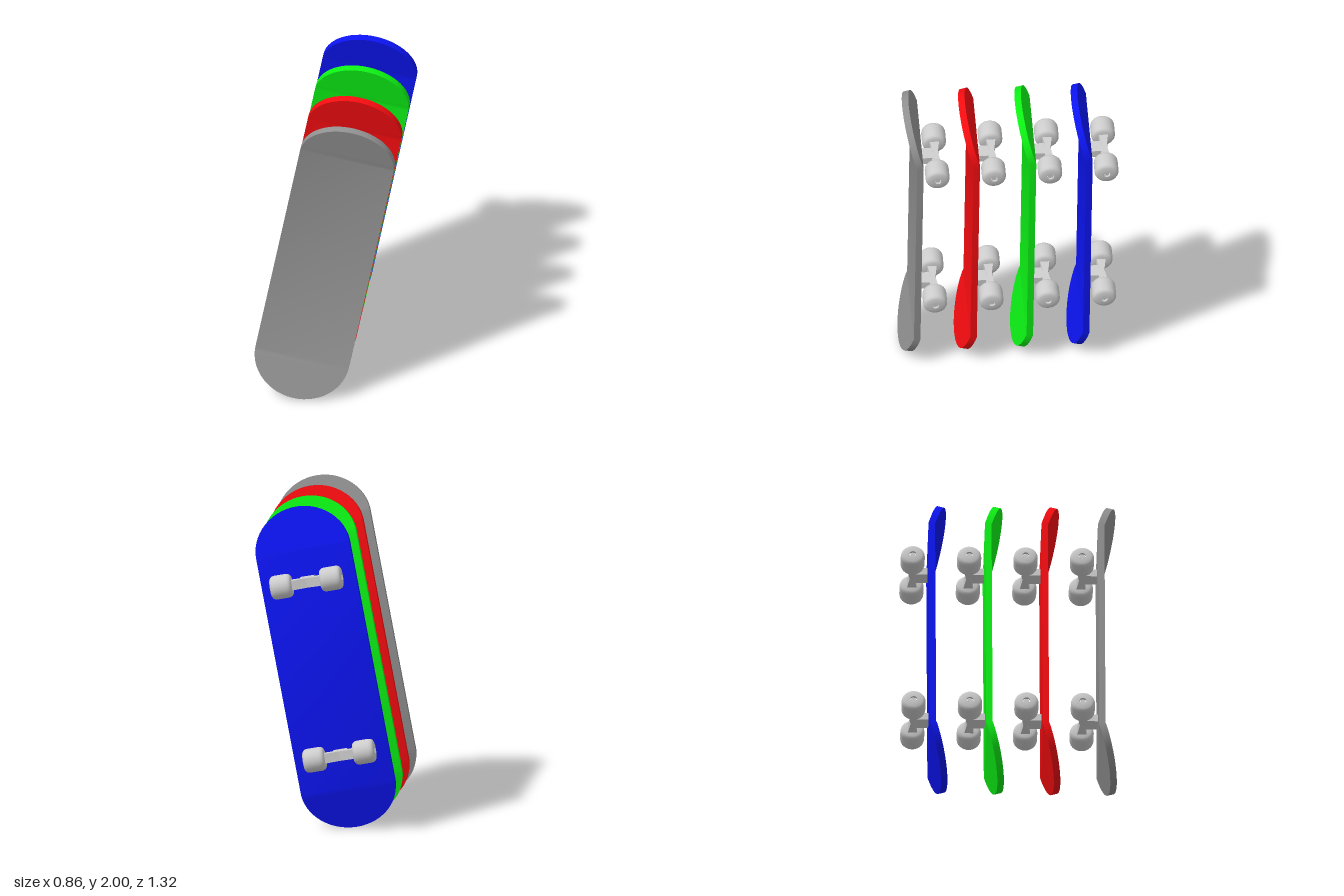
import * as THREE from 'three';
import { toCreasedNormals } from 'three/addons/utils/BufferGeometryUtils.js';

const LEAN = -0.187;     // boards lean sideways
const HALF_WIDTH = 0.294;
const BEND_Y = 0.75;     // where nose and tail kick up
const CAP = 0.262;       // projected length of nose and tail
const KICK = 0.285;      // kick slope
const THICK = 0.04;

// Loft of rectangular cross-sections along the deck; z = 0 is the underside.
function deckGeometry() {
  const steps = 14, pos = [], index = [];
  const addRow = (sign, phi) => {
    const t = CAP * Math.sin(phi);
    const w = HALF_WIDTH * Math.cos(phi);
    for (const [sx, z] of [[-1, THICK], [1, THICK], [1, 0], [-1, 0]]) {
      const mitre = KICK * z * (phi === 0 ? 0.5 : 1);
      pos.push(sx * w, sign * (BEND_Y + t - mitre), z + KICK * t);
    }
  };
  for (let i = steps; i >= 0; i--) addRow(-1, (i / steps) * Math.PI / 2);
  for (let i = 0; i <= steps; i++) addRow(1, (i / steps) * Math.PI / 2);
  const rows = 2 * steps + 2;
  for (let j = 0; j < rows - 1; j++) {
    for (let k = 0; k < 4; k++) {
      const a = j * 4 + k, b = j * 4 + (k + 1) % 4;
      index.push(a, b, b + 4, a, b + 4, a + 4);
    }
  }
  const geo = new THREE.BufferGeometry();
  geo.setAttribute('position', new THREE.Float32BufferAttribute(pos, 3));
  geo.setIndex(index);
  return toCreasedNormals(geo, 0.5);
}

// Barrel-shaped wheel with a recessed hub, axis along x.
function wheelGeometry() {
  const half = [[0.074, 0.037], [0.072, 0.049], [0.066, 0.059], [0.055, 0.066], [0.021, 0.067], [0.021, 0.052]];
  const points = [
    ...half.slice().reverse().map(([r, y]) => new THREE.Vector2(r, -y)),
    ...half.map(([r, y]) => new THREE.Vector2(r, y)),
  ];
  const geo = new THREE.LatheGeometry(points, 28);
  geo.rotateZ(Math.PI / 2);
  return toCreasedNormals(geo, 0.7);
}

// Four-sided hanger, pinched at the middle.
function hangerGeometry() {
  const geo = new THREE.CylinderGeometry(0.042, 0.042, 0.19, 4, 2);
  geo.rotateY(Math.PI / 4);
  geo.rotateZ(Math.PI / 2);
  const p = geo.attributes.position;
  for (let i = 0; i < p.count; i++) {
    if (Math.abs(p.getX(i)) < 0.01) p.setZ(i, p.getZ(i) * 0.5);
  }
  return geo;
}

export function createModel() {
  const model = new THREE.Group();
  model.name = 'skateboardRow';
  const metal = new THREE.MeshStandardMaterial({ color: 0xcccccc });
  const facetedMetal = new THREE.MeshStandardMaterial({ color: 0xcccccc, flatShading: true });
  const deckGeo = deckGeometry();
  const wheelGeo = wheelGeometry();
  const hangerGeo = hangerGeometry();
  const postGeo = new THREE.BoxGeometry(0.088, 0.05, 0.1);
  const axleGeo = new THREE.CylinderGeometry(0.016, 0.016, 0.43, 16);
  axleGeo.rotateZ(Math.PI / 2);

  const add = (parent, name, geo, mat, x = 0, y = 0, z = 0) => {
    const mesh = new THREE.Mesh(geo, mat);
    mesh.name = name;
    mesh.position.set(x, y, z);
    parent.add(mesh);
  };

  // Truck: post, hanger, axle and a pair of wheels
  function makeTruck(name, y) {
    const truck = new THREE.Group();
    truck.name = name;
    truck.position.set(0, y, -0.095);
    add(truck, 'post', postGeo, metal, 0, 0, 0.046);
    add(truck, 'hanger', hangerGeo, facetedMetal);
    add(truck, 'axle', axleGeo, metal);
    add(truck, 'leftWheel', wheelGeo, metal, 0.156);
    add(truck, 'rightWheel', wheelGeo, metal, -0.156);
    return truck;
  }

  // Four boards, one behind the other
  const boards = [['grey', 0x909090], ['red', 0xf50c10], ['green', 0x0cf014], ['blue', 0x0c14f0]];
  boards.forEach(([name, color], i) => {
    const board = new THREE.Group();
    board.name = name + 'Skateboard';
    board.position.set(0, 1, 0.544 - i * 0.346);
    board.rotation.z = LEAN;
    add(board, 'deck', deckGeo, new THREE.MeshStandardMaterial({ color }));
    board.add(makeTruck('upperTruck', 0.563), makeTruck('lowerTruck', -0.531));
    model.add(board);
  });
  return model;
}
